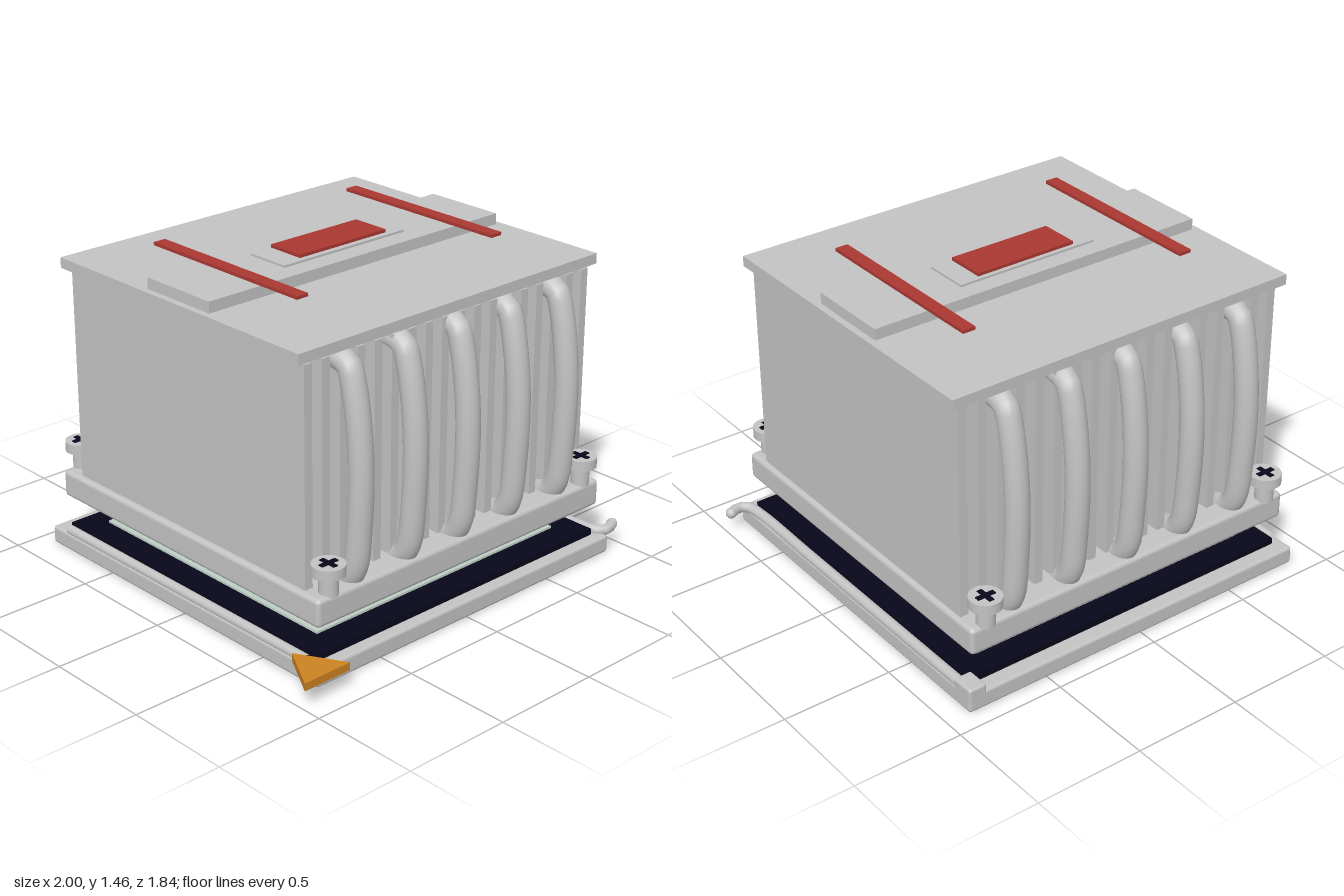
import * as THREE from 'three';
import { RoundedBoxGeometry } from 'three/addons/geometries/RoundedBoxGeometry.js';

const mat = (name, color) => {
  const m = new THREE.MeshStandardMaterial({ color });
  m.name = name;
  return m;
};

export function createModel() {
  const metal = mat('light metal', 0xc3c3c3);
  const lidGrey = mat('lid grey', 0x8f9296);
  const navy = mat('dark navy', 0x07071a);
  const green = mat('board green', 0x124a2c);
  const pale = mat('pale green', 0xbfcfc4);
  const red = mat('red', 0xaa3832);
  const orange = mat('orange', 0xcc8222);

  const model = new THREE.Group();
  model.name = 'processorCooler';
  const add = (name, geo, material, parent = model) => {
    const mesh = new THREE.Mesh(geo, material);
    mesh.name = name;
    parent.add(mesh);
    return mesh;
  };
  const group = (name) => {
    const g = new THREE.Group();
    g.name = name;
    model.add(g);
    return g;
  };
  // Box given by its limits; a bevel rounds the edges
  const box = (name, material, x0, x1, y0, y1, z0, z1, parent = model, bevel = 0) => {
    const [w, h, d] = [x1 - x0, y1 - y0, z1 - z0];
    const geo = bevel ? new RoundedBoxGeometry(w, h, d, 2, bevel) : new THREE.BoxGeometry(w, h, d);
    const mesh = add(name, geo, material, parent);
    mesh.position.set((x0 + x1) / 2, (y0 + y1) / 2, (z0 + z1) / 2);
    return mesh;
  };
  const tube = (name, points, radius, parent, segments = 32) => {
    const curve = new THREE.CatmullRomCurve3(points.map((p) => new THREE.Vector3(...p)));
    return add(name, new THREE.TubeGeometry(curve, segments, radius, 16), metal, parent);
  };
  // Flat triangular marker from [x, z] corners
  const marker = (name, corners, y, height) => {
    const shape = new THREE.Shape(corners.map(([x, z]) => new THREE.Vector2(x, -z)));
    const geo = new THREE.ExtrudeGeometry(shape, { depth: height, bevelEnabled: false });
    geo.rotateX(-Math.PI / 2);
    add(name, geo, orange).position.y = y;
  };

  // Socket frame
  const frame = group('socketFrame');
  box('frontBar', metal, -0.86, 0.895, 0, 0.083, 0.77, 0.835, frame, 0.015);
  box('backBar', metal, -0.86, 0.895, 0, 0.083, -0.92, -0.84, frame, 0.015);
  box('leftBar', metal, 0.835, 0.895, 0, 0.083, -0.9, 0.82, frame, 0.015);
  box('rightBar', metal, -0.86, -0.8, 0, 0.083, -0.9, 0.82, frame, 0.015);
  box('leverHinge', metal, 0.81, 0.895, 0.04, 0.115, -0.92, -0.81, frame, 0.012);
  box('socketPad', navy, -0.81, 0.845, 0.006, 0.108, -0.845, 0.775);

  // Locking lever with its bent handle, and the plain rod opposite
  const lever = group('lockingLever');
  tube('leverRod', [[0.87, 0.088, -0.83], [0.87, 0.088, -0.3], [0.87, 0.088, 0.3], [0.87, 0.088, 0.7],
    [0.885, 0.09, 0.785], [0.925, 0.092, 0.805], [0.975, 0.094, 0.785]], 0.024, lever, 48);
  const tip = add('leverTip', new THREE.SphereGeometry(0.025, 16, 10), metal, lever);
  tip.position.set(0.975, 0.094, 0.785);
  tube('sideRod', [[-0.835, 0.088, -0.82], [-0.835, 0.088, 0.75]], 0.022, lever, 4);

  // Processor stack
  const chip = group('processor');
  box('contactLayer', pale, -0.69, 0.72, 0.108, 0.118, -0.73, 0.65, chip);
  box('circuitBoard', green, -0.625, 0.66, 0.118, 0.15, -0.68, 0.605, chip);
  box('lidStep', lidGrey, -0.54, 0.575, 0.15, 0.187, -0.6, 0.525, chip);
  box('lidPlate', metal, -0.73, 0.76, 0.187, 0.207, -0.755, 0.68, chip);
  box('coldPlate', metal, -0.475, 0.505, 0.207, 0.238, -0.53, 0.45, chip);
  for (let i = 0; i < 8; i++) {
    const x = -0.435 + i * 0.15;
    const z = -0.5 + i * 0.145 - 0.05;
    for (const s of [-1, 1]) {
      const cz = -0.037 + s * 0.6;
      box('surfaceChip', navy, x - 0.025, x + 0.025, 0.15, 0.158, cz - 0.018, cz + 0.018, chip);
      const cx = 0.018 + s * 0.6;
      box('surfaceChip', navy, cx - 0.018, cx + 0.018, 0.15, 0.158, z - 0.025, z + 0.025, chip);
    }
  }

  // Alignment markers
  marker('socketMarker', [[-0.88, 0.71], [-1, 0.92], [-0.76, 0.92]], 0.085, 0.035);
  marker('boardMarker', [[-0.56, 0.5], [-0.64, 0.59], [-0.48, 0.59]], 0.15, 0.017);

  // Heat sink base, fins and cover plates
  box('heatSinkBase', metal, -0.82, 0.85, 0.235, 0.36, -0.875, 0.8, model, 0.02);
  const fins = group('fins');
  for (let i = 0; i < 18; i++) {
    const x = -0.773 + i * 0.093;
    box('fin', metal, x - 0.02, x + 0.02, 0.35, 1.32, -0.77, 0.695, fins);
  }
  box('topPlate', metal, -0.835, 0.865, 1.333, 1.38, -0.79, 0.71);
  box('crossBar', metal, -0.805, 0.835, 1.38, 1.43, -0.235, 0.153);
  box('badgePlate', metal, -0.325, 0.36, 1.43, 1.44, -0.152, 0.058);
  box('redBadge', red, -0.225, 0.265, 1.445, 1.459, -0.14, 0.042);
  box('redStripe', red, -0.565, -0.505, 1.445, 1.459, -0.495, 0.402);
  box('redStripe', red, 0.54, 0.6, 1.445, 1.459, -0.495, 0.402);

  // Bowed heat pipes, mirrored about the fin stack
  const pipes = group('heatPipes');
  const profile = [[0.55, 1.292], [0.66, 1.288], [0.715, 1.268], [0.742, 1.2], [0.775, 1.02],
    [0.788, 0.83], [0.78, 0.6], [0.758, 0.42], [0.725, 0.365], [0.67, 0.34]];
  for (let i = 0; i < 5; i++) {
    const x = -0.58 + i * 0.299;
    for (const s of [-1, 1]) {
      tube('heatPipe', profile.map(([z, y]) => [x, y, s < 0 ? -0.075 - z : z]), 0.052, pipes, 40);
    }
  }

  // Corner screws with a cross recess
  for (const x of [-0.73, 0.765]) {
    for (const z of [-0.853, 0.762]) {
      const screw = group('screw');
      screw.position.set(x, 0, z);
      add('shank', new THREE.CylinderGeometry(0.041, 0.041, 0.1, 24), metal, screw).position.y = 0.4;
      add('head', new THREE.CylinderGeometry(0.071, 0.071, 0.046, 32), metal, screw).position.y = 0.463;
      box('recess', navy, -0.043, 0.043, 0.483, 0.49, -0.012, 0.012, screw);
      box('recess', navy, -0.012, 0.012, 0.483, 0.4895, -0.043, 0.043, screw);
    }
  }
  return model;
}
